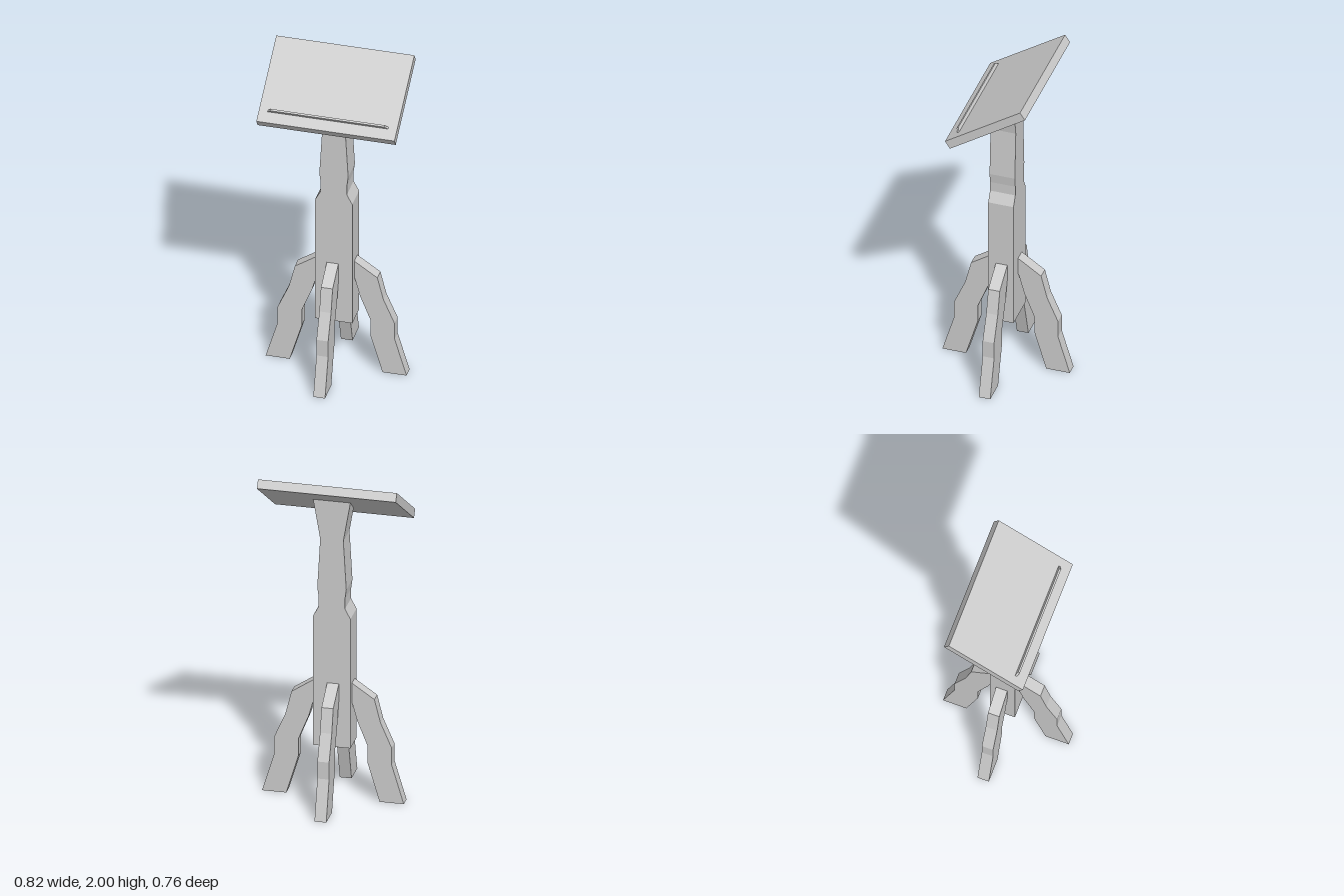
import * as THREE from 'three';

const material = new THREE.MeshStandardMaterial({ color: 0xcccccc, flatShading: true });

// Extrude a closed outline, centred on its depth
function slab(points, depth) {
  const shape = new THREE.Shape(points.map(([x, y]) => new THREE.Vector2(x, y)));
  const geometry = new THREE.ExtrudeGeometry(shape, { depth, bevelEnabled: false });
  return geometry.translate(0, 0, -depth / 2);
}

function addMesh(parent, name, geometry) {
  const mesh = new THREE.Mesh(geometry, material);
  mesh.name = name;
  parent.add(mesh);
  return mesh;
}

export function createModel() {
  const model = new THREE.Group();
  model.name = 'lectern';

  // Column: mirrored carved profile, its top cut along the sloping board
  const half = [[0.108, 0.33], [0.108, 1.13], [0.076, 1.19], [0.076, 1.25], [0.084, 1.31], [0.067, 1.61], [0.11, 1.85]];
  const outline = [...half, ...half.map(([x, y]) => [-x, y]).reverse()];
  const columnGeometry = slab(outline, 0.15).translate(0, 0, 0.004);
  const p = columnGeometry.attributes.position;
  for (let i = 0; i < p.count; i++) {
    if (p.getY(i) < 1.8) continue;
    const y = 1.813 - 0.663 * p.getZ(i);
    p.setY(i, y);
    p.setX(i, Math.sign(p.getX(i)) * (0.067 + (y - 1.61) * 0.17));
  }
  columnGeometry.computeVertexNormals();
  addMesh(model, 'column', columnGeometry).position.x = -0.002;

  // Four bent legs; the front and back pair sits closer in
  const legOutline = [
    [0.1, 0.725], [0.107, 0.72], [0.24, 0.63], [0.275, 0.49], [0.34, 0.34], [0.34, 0.235], [0.41, 0],
    [0.27, 0], [0.2, 0.235], [0.2, 0.34], [0.14, 0.49], [0.107, 0.61], [0.1, 0.62],
  ];
  ['leftLeg', 'backLeg', 'rightLeg', 'frontLeg'].forEach((name, i) => {
    const alongZ = i % 2 === 1;
    const geometry = slab(legOutline, 0.068).translate(alongZ ? -0.032 : 0, 0, 0);
    const leg = addMesh(model, name, geometry);
    leg.rotation.y = i * Math.PI / 2;
    leg.position.x = alongZ ? -0.009 : 0;
  });

  // Sloping reading board with a tapered book ledge
  const desk = new THREE.Group();
  desk.name = 'desk';
  desk.position.set(-0.009, 1.834, 0.0025);
  desk.rotation.x = Math.atan(0.663);
  model.add(desk);
  addMesh(desk, 'board', new THREE.BoxGeometry(0.804, 0.053, 0.534));
  const ledgeOutline = [[-0.351, 0], [0.351, 0], [0.331, 0.02], [-0.331, 0.02]];
  addMesh(desk, 'bookLedge', slab(ledgeOutline, 0.012)).position.set(0, 0.0265, 0.194);

  return model;
}
